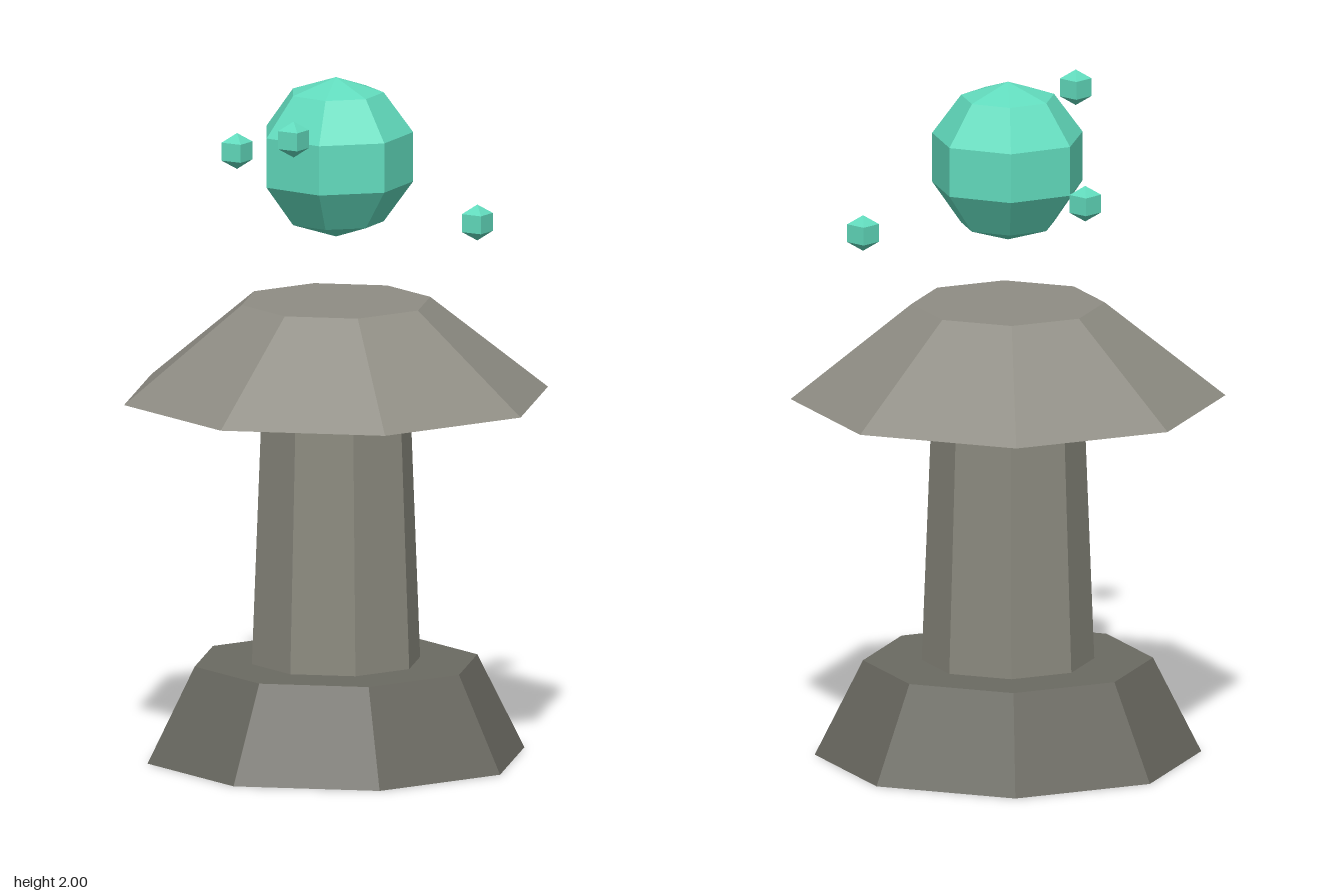
import * as THREE from 'three';

const material = (color) => new THREE.MeshStandardMaterial({ color, flatShading: true });

export function createModel() {
  const model = new THREE.Group();
  model.name = 'crystalPedestal';

  const darkStone = material(0x6b6a62);
  const stone = material(0x8a897e);
  const paleStone = material(0x8f8d84);
  const crystal = material(0x62dcbe);

  const add = (name, geometry, mat, x, y, z) => {
    const mesh = new THREE.Mesh(geometry, mat);
    mesh.name = name;
    mesh.position.set(x, y, z);
    model.add(mesh);
    return mesh;
  };

  // Eight-sided tapered stone block between two heights
  const block = (name, rBottom, rTop, y0, y1, mat) =>
    add(name, new THREE.CylinderGeometry(rTop, rBottom, y1 - y0, 8), mat, 0, (y0 + y1) / 2, 0);

  block('base', 0.56, 0.42, 0, 0.28, darkStone);
  block('column', 0.25, 0.22, 0.28, 1.06, stone);
  block('cap', 0.63, 0.28, 1.06, 1.34, paleStone);

  // Floating faceted crystal, one corner pointing to the back
  const orb = add('crystal', new THREE.SphereGeometry(0.235, 7, 5), crystal, 0, 1.765, 0);
  orb.rotation.y = -Math.PI / 2;

  // Three shards circling the crystal, each higher than the last
  const shard = new THREE.SphereGeometry(0.053, 4, 3);
  for (let i = 0; i < 3; i++) {
    const a = -(i * Math.PI * 2) / 3;
    add(`shard${i + 1}`, shard, crystal, 0.42 * Math.cos(a), 1.553 + 0.17 * i, 0.42 * Math.sin(a));
  }

  return model;
}
